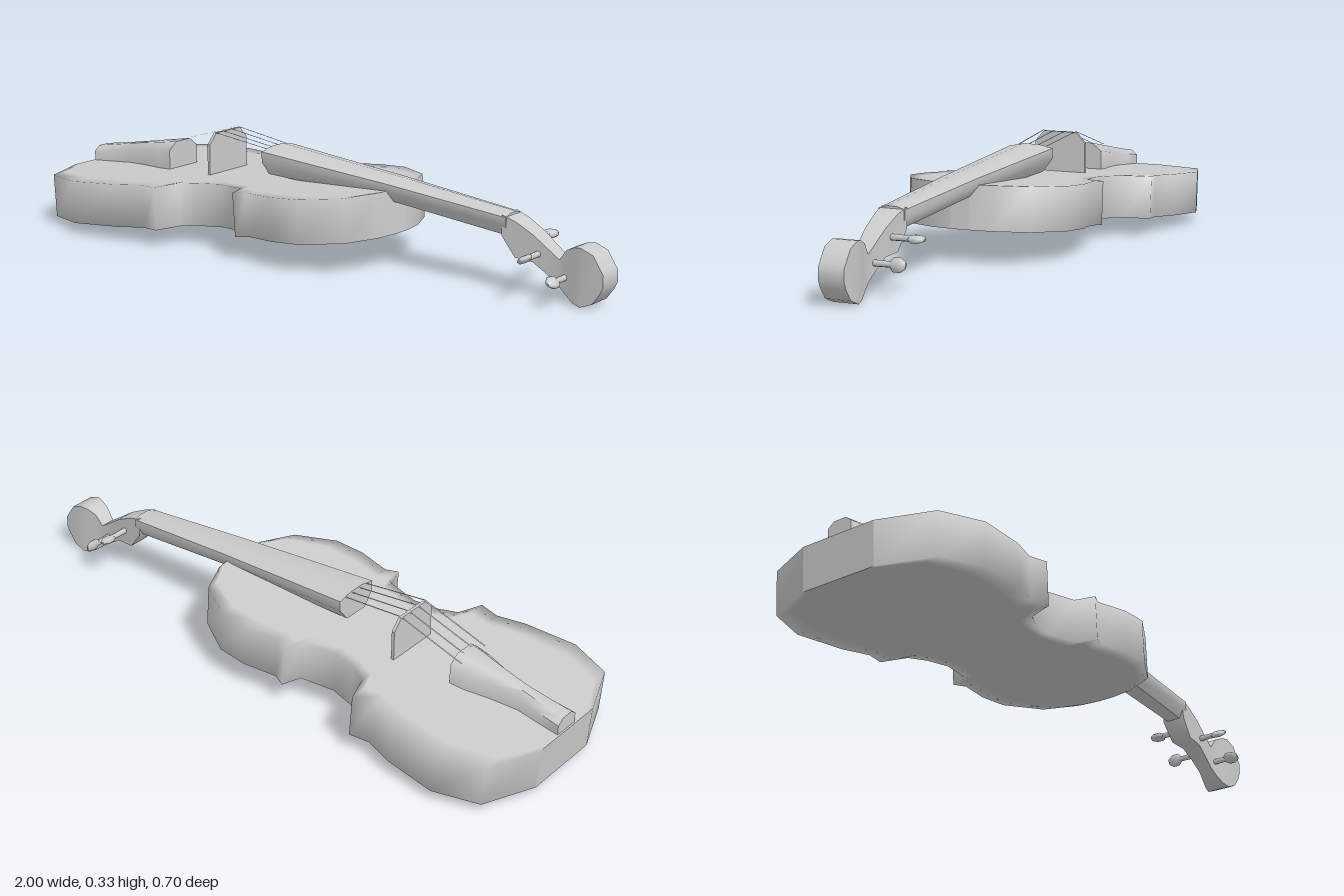
import * as THREE from 'three';
import { toCreasedNormals } from 'three/addons/utils/BufferGeometryUtils.js';

const material = new THREE.MeshStandardMaterial({ color: 0xcccccc });
const thin = new THREE.MeshStandardMaterial({ color: 0xcccccc, side: THREE.DoubleSide });

// Loft along x. Station: [x, bottom, top, halfWidth]; section: [heightFraction, widthFraction]
function loft(stations, section, crease) {
  const pos = [], index = [], n = section.length, last = stations.length - 1;
  const ring = ([x, bottom, top, half]) => section.forEach(([h, w]) =>
    pos.push(x, bottom + (top - bottom) * h, half * w));
  stations.forEach(ring);
  for (let i = 0; i < last; i++) {
    for (let j = 0; j < n; j++) {
      const a = i * n + j, d = i * n + (j + 1) % n, b = a + n, c = d + n;
      index.push(a, d, b, d, c, b);
    }
  }
  // End caps keep their own corners
  ring(stations[0]);
  ring(stations[last]);
  const s = (last + 1) * n, e = s + n;
  for (let j = 1; j < n - 1; j++) index.push(s, s + j + 1, s + j, e, e + j, e + j + 1);
  const g = new THREE.BufferGeometry();
  g.setAttribute('position', new THREE.Float32BufferAttribute(pos, 3));
  g.setIndex(index);
  g.computeVertexNormals();
  return crease ? toCreasedNormals(g, crease) : g;
}

function add(parent, name, geometry, mat = material) {
  const mesh = new THREE.Mesh(geometry, mat);
  mesh.name = name;
  parent.add(mesh);
  return mesh;
}

// Tapered peg with a flattened head, pointing along +y
function makePeg(length) {
  const peg = new THREE.Group();
  peg.name = 'tuningPeg';
  const lathe = pts => new THREE.LatheGeometry(pts.map(p => new THREE.Vector2(...p)), 8);
  add(peg, 'pegShaft', lathe([[0.01, 0], [0.009, length - 0.04]]));
  const head = add(peg, 'pegHead', lathe([[0.009, length - 0.05], [0.021, length - 0.037],
    [0.021, length - 0.015], [0.011, length], [0, length]]));
  head.scale.z = 0.5;
  return peg;
}

export function createModel() {
  const model = new THREE.Group();
  model.name = 'violin';

  // Body: outline half widths along x, tilted up toward the neck
  const outline = [[-1, 0.13], [-0.93, 0.3], [-0.79, 0.352], [-0.62, 0.333], [-0.53, 0.305],
    [-0.465, 0.318], [-0.435, 0.235], [-0.38, 0.207], [-0.3, 0.19], [-0.19, 0.213],
    [-0.17, 0.277], [-0.13, 0.258], [-0.02, 0.28], [0.08, 0.275], [0.2, 0.205],
    [0.25, 0.1], [0.262, 0.03]];
  const bodySection = [[1, -0.82], [1, 0.82], [1, 1], [0, 1], [0, 0.82], [0, -0.82], [0, -1], [1, -1]];
  const body = add(model, 'body', loft(outline.map(([x, w]) => [x, -0.069, 0.069, w]), bodySection));
  body.rotation.z = 0.0675;
  body.position.y = 0.156;

  // Fingerboard and neck in one taper
  const neckSection = [[1, 0.35], [0.88, 1], [0.5, 1], [0, 0.55],
    [0, -0.55], [0.5, -1], [0.88, -1], [1, -0.35]];
  add(model, 'neck', loft([[-0.225, 0.222, 0.31, 0.077], [0.26, 0.205, 0.27, 0.058],
    [0.67, 0.165, 0.232, 0.043]], neckSection, 0.9));

  // Pegbox sweeping down into the scroll
  const box = [[1, -1], [1, 1], [0, 1], [0, -1]];
  add(model, 'pegboxAndScroll', loft([[0.655, 0.168, 0.23, 0.04], [0.7, 0.108, 0.215, 0.036],
    [0.76, 0.103, 0.184, 0.032], [0.8, 0.078, 0.155, 0.028], [0.845, 0.045, 0.124, 0.025],
    [0.87, 0.025, 0.158, 0.029], [0.9, 0.006, 0.172, 0.036], [0.925, 0, 0.175, 0.041],
    [0.965, 0.016, 0.16, 0.041], [0.99, 0.05, 0.122, 0.041], [1, 0.072, 0.108, 0.041]], box, 1.1));

  // Tuning pegs: [x, y, side, length, head twist]
  [[0.73, 0.155, -1, 0.137, 0.2], [0.775, 0.13, 1, 0.125, 0.6],
    [0.815, 0.095, -1, 0.125, 1.4], [0.865, 0.075, 1, 0.115, -0.7]].forEach(([x, y, side, length, twist]) => {
    const peg = makePeg(length);
    peg.position.set(x, y, 0);
    peg.rotation.x = side * Math.PI / 2;
    peg.children[1].rotation.y = twist;
    model.add(peg);
  });

  // Tailpiece wedge with a rounded top
  const tailSection = [[1, 0.5], [0.75, 1], [0, 1], [0, -1], [0.75, -1], [1, -0.5]];
  add(model, 'tailpiece', loft([[-0.997, 0.14, 0.205, 0.043], [-0.93, 0.145, 0.216, 0.038],
    [-0.85, 0.15, 0.231, 0.03], [-0.76, 0.155, 0.247, 0.043], [-0.68, 0.16, 0.261, 0.062],
    [-0.63, 0.165, 0.27, 0.066]], tailSection, 0.9));

  // Bridge: thin plate standing across the body
  const plate = new THREE.Shape([[-0.09, 0.18], [0.09, 0.18], [0.09, 0.293], [0.058, 0.328],
    [-0.058, 0.328], [-0.09, 0.293]].map(p => new THREE.Vector2(...p)));
  const bridge = add(model, 'bridge', new THREE.ExtrudeGeometry(plate, { depth: 0.01, bevelEnabled: false }));
  bridge.rotation.y = Math.PI / 2;
  bridge.position.set(-0.445, 0, -0.004);

  // Strings: flat ribbons from tailpiece over the bridge to the fingerboard
  [0.057, 0.02, -0.021, -0.06].forEach(z => {
    const g = new THREE.PlaneGeometry(1, 0.005, 2, 1).rotateX(-Math.PI / 2);
    const p = g.attributes.position;
    const path = [[-0.665, 0.264, 1], [-0.44, 0.33, 1], [-0.22, 0.303, 0.85]];
    for (let i = 0; i < p.count; i++) {
      const [x, y, spread] = path[i % 3];
      p.setXYZ(i, x, y, z * spread + p.getZ(i));
    }
    g.computeVertexNormals();
    add(model, 'string', g, thin);
  });

  return model;
}
